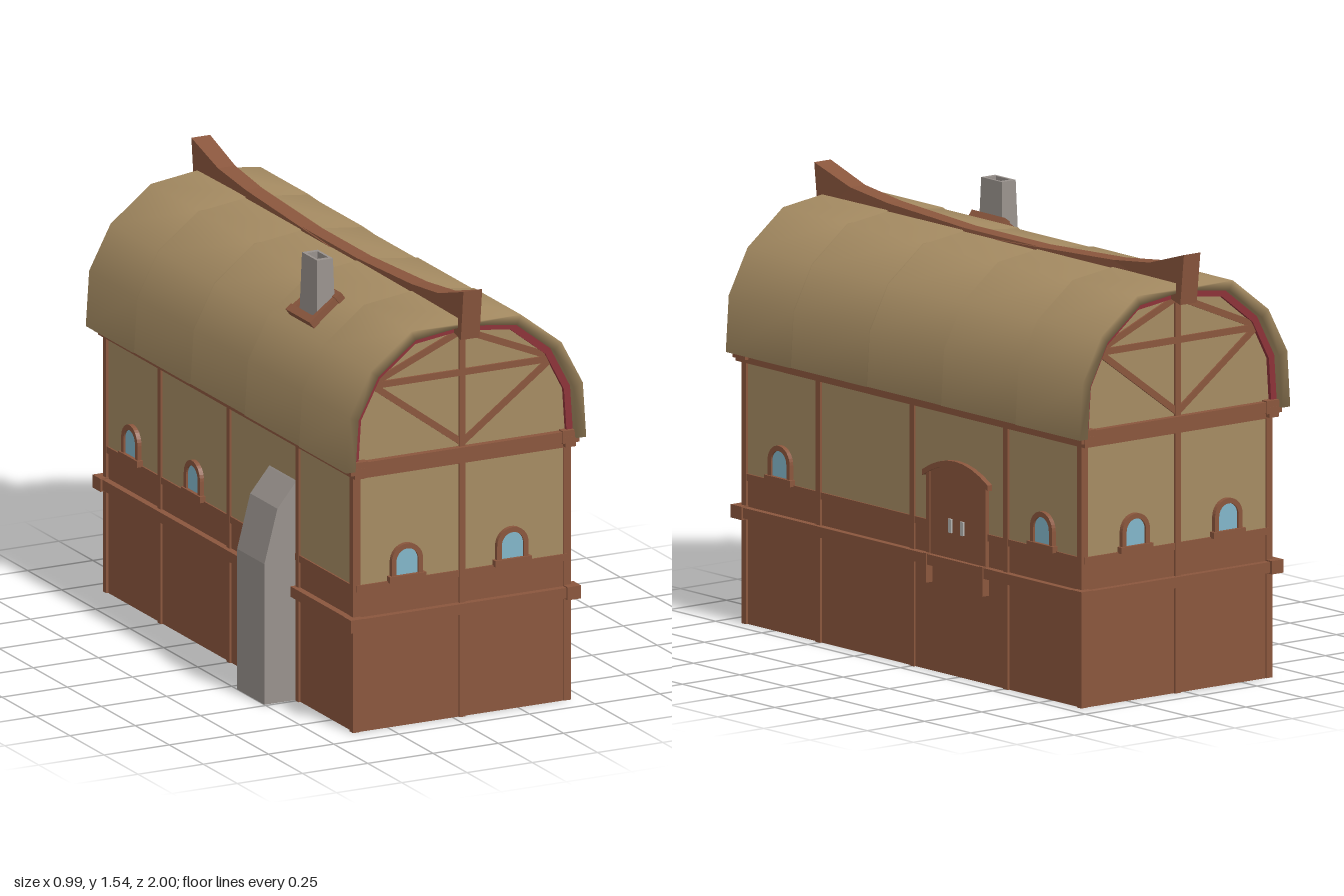
import * as THREE from 'three';
import { mergeVertices } from 'three/addons/utils/BufferGeometryUtils.js';

const mat = (name, color) => Object.assign(new THREE.MeshStandardMaterial({ color }), { name });

export function createModel() {
  const root = new THREE.Group();
  root.name = 'house';
  const straw = mat('straw plaster', 0xa58b62);
  const wood = mat('brown wood', 0x8a563d);
  const red = mat('red trim', 0x8c3238);
  const glass = mat('blue glass', 0x82b6c9);
  const stone = mat('grey stone', 0x98918c);
  const metal = mat('pale metal', 0xb4b4b2);

  const add = (name, geo, m, parent = root) => {
    const mesh = new THREE.Mesh(geo, m);
    mesh.name = name;
    parent.add(mesh);
    return mesh;
  };
  const box = (name, m, [x0, x1], [y0, y1], [z0, z1], parent = root) => {
    const mesh = add(name, new THREE.BoxGeometry(x1 - x0, y1 - y0, z1 - z0), m, parent);
    mesh.position.set((x0 + x1) / 2, (y0 + y1) / 2, (z0 + z1) / 2);
    return mesh;
  };
  const extrude = (shape, depth) =>
    new THREE.ExtrudeGeometry(shape, { depth, bevelEnabled: false, curveSegments: 8 }).translate(0, 0, -depth / 2);
  const mid = (c, h) => [c - h, c + h];

  // Main dimensions
  const CX = 0.033, X0 = -0.37, X1 = 0.437, ZW = 0.91;
  const sidesX = [X0, X1], endsZ = [ZW, -ZW];

  // Barrel outline of the roof, inset by t
  const halfArch = [[0.46, 0.94], [0.447, 1.135], [0.365, 1.29], [0.21, 1.41], [0, 1.437]];
  const arch = (t) => {
    const right = halfArch.map(([x, y]) => [x * (1 - t / 0.46), 0.94 + (y - 0.94) * (1 - t / 0.5)]);
    const left = right.slice(0, -1).reverse().map(([x, y]) => [-x, y]);
    return [...right, ...left].map(([x, y]) => new THREE.Vector2(x + CX - 0.003, y));
  };
  const ring = (a, b) => new THREE.Shape([...arch(a), ...arch(b).reverse()]);

  // Walls of both storeys
  for (const x of sidesX) {
    box('lowerSideWall', wood, mid(x, 0.006), [0, 0.51], [-ZW, ZW]);
    box('upperSideWall', straw, mid(x, 0.006), [0.51, 0.95], [-ZW, ZW]);
  }
  for (const z of endsZ) {
    box('lowerEndWall', wood, [X0, X1], [0, 0.51], mid(z, 0.006));
    box('upperEndWall', straw, [X0, X1], [0.51, 0.95], mid(z, 0.006));
    add('gableWall', extrude(new THREE.Shape(arch(0.04)), 0.012), straw).position.z = z;
    add('gableTrim', extrude(ring(0.035, 0.06), 0.04), red).position.z = z;
  }

  // Posts and horizontal timbers along the long sides
  for (const x of sidesX) {
    for (const z of [-0.907, -0.507, 0, 0.507, 0.907]) {
      box('sidePost', wood, mid(x, 0.014), [0, 0.93], mid(z, 0.012));
    }
    box('sideSillRail', wood, mid(x, 0.012), [0.498, 0.522], [-ZW, ZW]);
    box('sideBelt', wood, mid(x, 0.03), [0.37, 0.407], [-0.935, 0.935]);
    box('sideTopPlate', wood, mid(x, 0.02), [0.908, 0.945], [-0.945, 0.945]);
  }

  // Timbers of the gable ends
  const strut = (z, x0, y0, x1, y1) => {
    const s = add('gableBrace', new THREE.BoxGeometry(Math.hypot(x1 - x0, y1 - y0), 0.023, 0.026), wood);
    s.position.set((x0 + x1) / 2, (y0 + y1) / 2, z);
    s.rotation.z = Math.atan2(y1 - y0, x1 - x0);
  };
  for (const z of endsZ) {
    box('gablePost', wood, mid(CX, 0.012), [0, 1.38], mid(z, 0.014));
    box('endSillRail', wood, [X0, X1], [0.498, 0.522], mid(z, 0.012));
    box('endBelt', wood, [X0 - 0.03, X1 + 0.03], [0.37, 0.407], mid(z, 0.03));
    box('endPlate', wood, [X0, X1], [0.903, 0.922], mid(z, 0.016));
    box('tieBeam', wood, [X0, X1], [0.925, 0.963], mid(z, 0.03));
    box('collarBeam', wood, [-0.32, 0.386], [1.214, 1.237], mid(z, 0.014));
    for (const s of [1, -1]) {
      strut(z, CX, 0.975, CX + s * 0.335, 1.22);
      strut(z, CX + s * 0.335, 1.235, CX, 1.375);
      const xc = s > 0 ? X1 : X0;
      box('beltBlock', wood, mid(xc + s * 0.012, 0.026), [0.365, 0.411], mid(z + Math.sign(z) * 0.01, 0.029));
      box('tieBlock', wood, mid(xc + s * 0.002, 0.032), [0.922, 0.967], mid(z, 0.034));
    }
  }

  // Arched windows, made with the wall plane at z = 0
  const archShape = (w, y0, ySpring, Cls = THREE.Shape) => {
    const s = new Cls();
    s.moveTo(-w, y0);
    s.lineTo(w, y0);
    s.lineTo(w, ySpring);
    s.absarc(0, ySpring, w, 0, Math.PI, false);
    s.lineTo(-w, y0);
    return s;
  };
  const addWindow = (x, z, turn) => {
    const g = new THREE.Group();
    g.name = 'window';
    const frame = archShape(0.06, 0.53, 0.59);
    frame.holes.push(archShape(0.042, 0.532, 0.59, THREE.Path));
    add('windowFrame', extrude(frame, 0.044), wood, g);
    for (const d of [0.011, -0.011]) {
      add('windowPane', extrude(archShape(0.044, 0.531, 0.59), 0.008), glass, g).position.z = d;
    }
    box('windowSill', wood, mid(0, 0.07), [0.518, 0.54], mid(0, 0.028), g);
    g.position.set(x, 0, z);
    g.rotation.y = turn;
    root.add(g);
  };
  for (const x of [-0.182, 0.222]) {
    addWindow(x, ZW, 0);
    addWindow(x, -ZW, Math.PI);
  }
  for (const z of [0.71, -0.71]) addWindow(X1, z, Math.PI / 2);
  for (const z of [-0.25, -0.71]) addWindow(X0, z, -Math.PI / 2);

  // Door with bowed lintel, on the model's left side
  const door = new THREE.Group();
  door.name = 'door';
  const panel = new THREE.Shape();
  panel.moveTo(-0.15, 0.408);
  panel.lineTo(0.15, 0.408);
  panel.lineTo(0.15, 0.69);
  panel.quadraticCurveTo(0, 0.785, -0.15, 0.69);
  add('doorPanel', extrude(panel, 0.03), wood, door);
  const lintel = new THREE.Shape();
  lintel.moveTo(-0.178, 0.675);
  lintel.quadraticCurveTo(0, 0.785, 0.178, 0.675);
  lintel.lineTo(0.178, 0.695);
  lintel.quadraticCurveTo(0, 0.805, -0.178, 0.695);
  add('doorLintel', extrude(lintel, 0.05), wood, door);
  for (const s of [1, -1]) {
    box('doorPost', wood, mid(s * 0.152, 0.009), [0.308, 0.7], mid(0, 0.02), door);
    box('doorBracket', wood, mid(s * 0.152, 0.009), [0.308, 0.41], mid(0.016, 0.018), door);
    box('doorHandle', metal, mid(s * 0.032, 0.008), [0.497, 0.545], [0.014, 0.022], door);
  }
  door.position.set(X1, 0, -0.247);
  door.rotation.y = Math.PI / 2;
  root.add(door);

  // Five softly shaded roof sections
  const cuts = [-0.957, -0.61, -0.203, 0.203, 0.61, 0.957];
  for (let i = 0; i < 5; i++) {
    const inset = [0, 0.004, 0.008, 0.004, 0][i];
    let geo = extrude(ring(inset, 0.036), cuts[i + 1] - cuts[i]);
    geo.deleteAttribute('normal');
    geo.deleteAttribute('uv');
    geo = mergeVertices(geo, 1e-4);
    geo.computeVertexNormals();
    add('roofSection', geo, straw).position.z = (cuts[i] + cuts[i + 1]) / 2;
  }

  // Sagging ridge beam, wider toward its raised ends
  const ridgeTop = [[1, 1.537], [0.81, 1.48], [0.61, 1.457], [0.2, 1.437]];
  const ridge = new THREE.Shape();
  ridge.moveTo(-0.98, 1.36);
  ridge.lineTo(-0.9, 1.38);
  ridge.lineTo(0.9, 1.38);
  ridge.lineTo(0.98, 1.36);
  ridgeTop.forEach(([z, y]) => ridge.lineTo(z, y));
  [...ridgeTop].reverse().forEach(([z, y]) => ridge.lineTo(-z, y));
  const ridgeGeo = extrude(ridge, 0.072);
  const p = ridgeGeo.attributes.position;
  for (let i = 0; i < p.count; i++) {
    p.setZ(i, p.getZ(i) * (0.76 + 0.24 * Math.pow(Math.abs(p.getX(i)), 2)));
  }
  ridgeGeo.rotateY(Math.PI / 2);
  ridgeGeo.computeVertexNormals();
  add('ridgeBeam', ridgeGeo, wood).position.x = CX;

  // Chimney base against the right wall
  const base = new THREE.Shape([[-0.5, 0], [-0.19, 0], [-0.19, 0.86], [-0.3, 0.86], [-0.38, 0.775],
    [-0.45, 0.69], [-0.5, 0.5]].map(([x, y]) => new THREE.Vector2(x, y)));
  add('chimneyBase', extrude(base, 0.2), stone).position.z = 0.39;

  // Hollow tapered chimney stack
  const stackPts = [[1, 1.24], [0.82, 1.537], [0.56, 1.537], [0.56, 1.3], [0, 1.3]]
    .map(([r, y]) => new THREE.Vector2(r * Math.SQRT2, y));
  const stack = new THREE.LatheGeometry(stackPts, 4).rotateY(Math.PI / 4).scale(0.037, 1, 0.068).toNonIndexed();
  stack.computeVertexNormals();
  add('chimneyStack', stack, stone).position.set(-0.247, 0, 0.395);

  // Wooden collar lying on the roof slope around the stack
  const collar = new THREE.Group();
  collar.name = 'chimneyCollar';
  for (const s of [1, -1]) {
    box('collarSide', wood, mid(s * 0.061, 0.014), mid(0, 0.02), mid(0, 0.09), collar);
    box('collarEnd', wood, mid(0, 0.06), mid(0, 0.017), mid(s * 0.073, 0.011), collar);
  }
  collar.position.set(-0.25, 1.36, 0.393);
  collar.rotation.z = 0.64;
  root.add(collar);

  return root;
}
